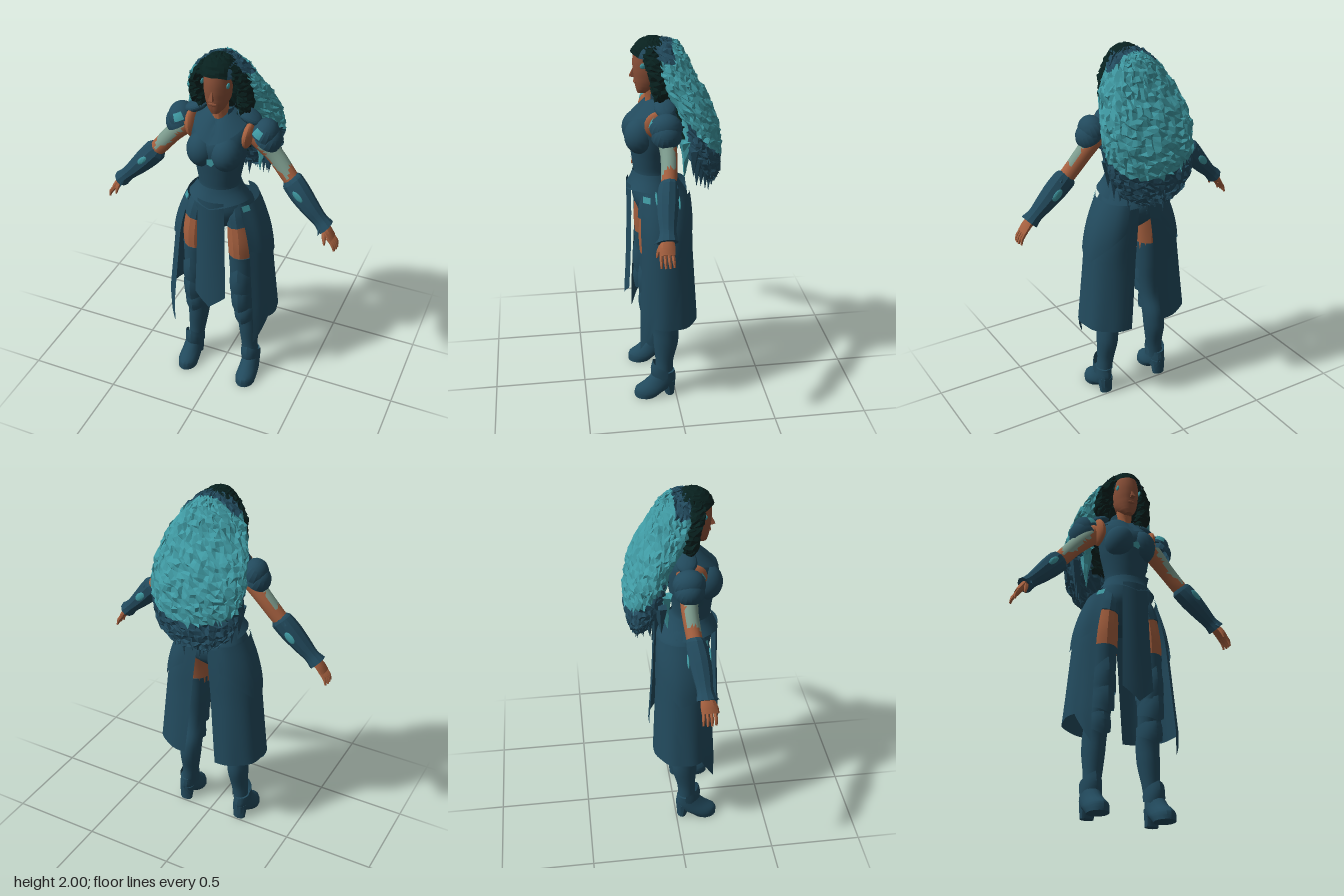
import * as THREE from 'three';
import { toCreasedNormals, mergeGeometries } from 'three/addons/utils/BufferGeometryUtils.js';

const V = (x, y, z) => new THREE.Vector3(x, y, z);
const lerp = THREE.MathUtils.lerp;
const mat = (name, color) => new THREE.MeshStandardMaterial({ name, color, side: THREE.DoubleSide });

// Grid surface from a rule f(u, v) -> Vector3
function sheet(f, nu, nv) {
  const pos = [], idx = [];
  for (let i = 0; i <= nv; i++) for (let j = 0; j <= nu; j++) pos.push(...f(j / nu, i / nv).toArray());
  for (let i = 0; i < nv; i++) for (let j = 0; j < nu; j++) {
    const a = i * (nu + 1) + j, b = a + nu + 1;
    idx.push(a, a + 1, b, a + 1, b + 1, b);
  }
  const g = new THREE.BufferGeometry();
  g.setAttribute('position', new THREE.Float32BufferAttribute(pos, 3));
  g.setIndex(idx);
  return g;
}

// Smooth body through rings [x, y, z, half width across, half depth in z], closed at both ends
function sweep(rings, seg = 14, steps = 4) {
  const path = new THREE.CatmullRomCurve3(rings.map(r => V(r[0], r[1], r[2])));
  const size = new THREE.CatmullRomCurve3(rings.map(r => V(r[3], r[4], 0)));
  const n = (rings.length - 1) * steps;
  return sheet((u, v) => {
    const t = THREE.MathUtils.clamp((v * (n + 2) - 1) / n, 0, 1);
    const cap = v < 0.5 / (n + 2) || v > 1 - 0.5 / (n + 2) ? 0 : 1;
    const c = path.getPoint(t), d = path.getTangent(t), s = size.getPoint(t);
    const l = Math.hypot(d.x, d.y) || 1, a = u * Math.PI * 2;
    const w = s.x * Math.cos(a) * cap;
    return V(c.x - d.y / l * w, c.y + d.x / l * w, c.z + s.y * Math.sin(a) * cap);
  }, seg, n + 2);
}

// Repeatable roughness, equal for equal positions
function ruffle(g, amount) {
  const p = g.attributes.position;
  const h = (x, y, z, k) => {
    const s = Math.sin(Math.round(x * 500) * 12.99 + Math.round(y * 500) * 78.23 + Math.round(z * 500) * 37.72 + k) * 4375.85;
    return s - Math.floor(s) - 0.5;
  };
  for (let i = 0; i < p.count; i++) {
    const x = p.getX(i), y = p.getY(i), z = p.getZ(i);
    p.setXYZ(i, x + h(x, y, z, 1) * amount, y + h(x, y, z, 2) * amount, z + h(x, y, z, 3) * amount);
  }
  return g;
}

// Gives each face a material number by its centre
function paint(g, pick) {
  const p = g.attributes.position;
  g.clearGroups();
  for (let i = 0; i < p.count; i += 3) {
    const c = V(0, 0, 0);
    for (let k = 0; k < 3; k++) c.add(V(p.getX(i + k), p.getY(i + k), p.getZ(i + k)).divideScalar(3));
    const m = pick(c), last = g.groups[g.groups.length - 1];
    if (last && last.materialIndex === m) last.count += 3; else g.addGroup(i, 3, m);
  }
  return g;
}

function mirrored(g) {
  const m = g.clone();
  for (const a of Object.values(m.attributes)) {
    if (a.itemSize !== 3) continue;
    for (let i = 0; i < a.count; i += 3) {
      const [p, q, r] = [0, 1, 2].map(k => [-a.getX(i + k), a.getY(i + k), a.getZ(i + k)]);
      a.setXYZ(i, ...p); a.setXYZ(i + 1, ...r); a.setXYZ(i + 2, ...q);
    }
  }
  return m;
}

export function createModel() {
  const root = new THREE.Group();
  const armour = mat('deep teal armour', 0x224a5d), hairLight = mat('turquoise hair', 0x3f99a2);
  const hairDark = mat('black green hair', 0x08211f), skin = mat('skin', 0xa5603f);
  const face = mat('face skin', 0x8a5038), sleeve = mat('grey green sleeve', 0x7d9c8e);
  const crease = (g, a = 0.5) => toCreasedNormals(g, a);
  const add = (name, g, m, a) => { const o = new THREE.Mesh(crease(g, a), m); o.name = name; root.add(o); return o; };
  const pair = (name, g, m, a) => {
    const o = add('left' + name, g, m, a), r = new THREE.Mesh(mirrored(o.geometry), m);
    r.name = 'right' + name;
    root.add(r);
  };
  const ball = (x, y, z, sx, sy, sz, rz = 0, cut = Math.PI) =>
    new THREE.SphereGeometry(1, 18, 12, 0, Math.PI * 2, 0, cut).scale(sx, sy, sz).rotateZ(rz).translate(x, y, z);

  // Torso and bust
  add('torso', sweep([[0, 1.03, 0.06, 0.08, 0.08], [0, 1.08, 0.055, 0.15, 0.125], [0, 1.15, 0.06, 0.17, 0.145],
    [0, 1.22, 0.08, 0.142, 0.125], [0, 1.3, 0.098, 0.108, 0.1], [0, 1.38, 0.1, 0.12, 0.108], [0, 1.46, 0.098, 0.137, 0.12],
    [0, 1.54, 0.096, 0.146, 0.128], [0, 1.61, 0.078, 0.142, 0.108], [0, 1.66, 0.062, 0.1, 0.078], [0, 1.69, 0.065, 0.055, 0.05]], 28), armour);
  pair('Breastplate', ball(0.064, 1.505, 0.163, 0.08, 0.095, 0.086), armour, 0.7);
  add('chestInlay', new THREE.CircleGeometry(0.024, 5).translate(0.006, 1.475, 0.233), hairLight);
  add('gorget', sheet((u, v) => {
    const a = (u - 0.5) * 3.4, f = Math.cos(a), k = Math.abs(u - 0.5) * 2;
    const r = lerp(0.056, 0.135, v);
    return V(Math.sin(a) * r, lerp(1.66 + 0.055 * k, 1.565 + 0.09 * k, v), 0.068 + f * lerp(0.07, 0.155, v));
  }, 16, 4), armour);
  add('collarBack', sheet((u, v) => {
    const a = 0.9 + u * (Math.PI * 2 - 1.8), r = lerp(0.06, 0.066, v);
    return V(Math.sin(a) * r, lerp(1.66, 1.72, v), 0.07 + Math.cos(a) * r);
  }, 14, 1), armour);

  // Waist plate with a scalloped lower edge
  add('waistPlate', sheet((u, v) => {
    const a = u * Math.PI * 2, tip = Math.abs(Math.sin(a * 1.5)) * 0.03, w = Math.pow(v, 1.3);
    return V(Math.sin(a) * lerp(0.113, 0.162, w), lerp(1.3, 1.195 + tip, v), 0.097 + Math.cos(a) * lerp(0.105, 0.142, w));
  }, 36, 5), armour);

  // Skirt: hanging front panel, split side panels and hip plates
  add('frontPanel', sheet((u, v) => {
    const x = u * 2 - 1, y = lerp(1.24, 0.565 + 0.075 * Math.abs(x), v);
    return V(x * lerp(0.072, 0.087, v), y, 0.237 + 0.022 * v * v - 0.018 * x * x);
  }, 8, 8), armour);
  const hem = new THREE.CatmullRomCurve3([V(0.205, 0, 0.18), V(0.262, 0, 0.11), V(0.265, 0, 0), V(0.18, 0, -0.085), V(0.035, 0, -0.1)]);
  const drape = (y, u, k) => {
    const p = hem.getPoint(u), up = Math.max(0, (y - 0.88) / 0.32), down = Math.min(1, Math.max(0, (0.88 - y) / 0.4));
    const s = k * (1 + 0.15 * down);
    return V(p.x * s * (1 - 0.12 * up - 0.21 * up * up), y, 0.05 + (p.z - 0.05) * s * (1 - 0.1 * up * up));
  };
  pair('SkirtPanel', sheet((u, v) => {
    const low = u < 0.22 ? lerp(0.335, 0.47, u / 0.22) : lerp(0.5, 0.47, u);
    return drape(lerp(1.17, low, v), u * lerp(0.99, 0.92, v), 1 + 0.012 * v * Math.sin(u * 22));
  }, 24, 12), armour);
  pair('HipPlate', sheet((u, v) => {
    const low = u < 0.55 ? lerp(0.95, 0.87, u / 0.55) : lerp(0.87, 1.05, (u - 0.55) / 0.45);
    return drape(lerp(1.2, low, v), u * 0.86, 1.025 + 0.015 * Math.sin(v * 3));
  }, 16, 6), armour);
  pair('HipInlay', sheet((u, v) => drape(lerp(1.205, 1.175, v), lerp(0.03, 0.17, u), 1.05), 4, 1), hairLight);

  // Legs: bare thigh, upper band, plated leg, knee plates and heeled boots
  pair('Thigh', sweep([[0.13, 0.84, 0.1, 0.07, 0.082], [0.128, 0.96, 0.098, 0.075, 0.092], [0.115, 1.09, 0.085, 0.07, 0.098]]), skin);
  pair('ThighBand', sweep([[0.117, 1.075, 0.088, 0.074, 0.104], [0.108, 1.13, 0.08, 0.068, 0.106], [0.095, 1.2, 0.075, 0.05, 0.09]]), armour);
  pair('LegArmour', sweep([[0.178, 0.05, 0.06, 0.04, 0.045], [0.172, 0.13, 0.062, 0.042, 0.048], [0.163, 0.21, 0.06, 0.046, 0.05],
    [0.155, 0.34, 0.05, 0.058, 0.07], [0.15, 0.43, 0.056, 0.06, 0.07], [0.145, 0.52, 0.085, 0.058, 0.07],
    [0.14, 0.6, 0.1, 0.06, 0.076], [0.135, 0.74, 0.1, 0.068, 0.084], [0.132, 0.88, 0.1, 0.074, 0.088]], 16), armour);
  const legPlate = (cx, cz, rx, rz, top, peak, low, dip) => sheet((u, v) => {
    const a = (u - 0.5) * 3.6, k = 1 - Math.abs(u - 0.5) * 2;
    return V(cx + Math.sin(a) * rx, lerp(top + peak * k, low - dip * k, v), cz + Math.cos(a) * (rz + 0.012 * Math.sin(v * Math.PI)));
  }, 10, 5);
  pair('KneePlate', mergeGeometries([legPlate(0.142, 0.1, 0.066, 0.085, 0.6, 0.08, 0.56, 0.05),
    legPlate(0.138, 0.1, 0.071, 0.087, 0.7, 0.11, 0.64, 0.02), legPlate(0.148, 0.075, 0.066, 0.078, 0.5, 0.03, 0.46, 0.06),
    legPlate(0.175, 0.065, 0.054, 0.062, 0.17, 0.05, 0.12, 0.03)]), armour);
  pair('Boot', mergeGeometries([
    sweep([[0.178, 0.15, 0.06, 0.045, 0.055], [0.18, 0.09, 0.085, 0.05, 0.085], [0.181, 0.05, 0.125, 0.056, 0.098], [0.181, 0.03, 0.145, 0.058, 0.086],
      [0.181, 0, 0.165, 0.054, 0.066]], 16), sweep([[0.178, 0.09, 0.045, 0.044, 0.045], [0.178, 0, 0.033, 0.036, 0.026]], 12)]), armour);

  // Arms: bare skin with sleeve patches, shoulder plates, gauntlets and hands
  const arm = crease(sweep([[0.14, 1.61, 0.055, 0.05, 0.055], [0.2, 1.56, 0.055, 0.052, 0.05], [0.28, 1.48, 0.05, 0.046, 0.042],
    [0.36, 1.385, 0.06, 0.043, 0.04], [0.42, 1.32, 0.07, 0.038, 0.038]], 16, 6), 0.7);
  const armTone = c => (c.x + c.y > 1.735 + 0.012 * Math.sin(c.x * 60) && c.x > 0.2 && c.x < 0.36 && c.z > 0.025 ? 1 : 0);
  pair('Arm', paint(arm, armTone), [skin, sleeve], 0.7);
  pair('ShoulderStrap', ball(0.152, 1.59, 0.085, 0.028, 0.075, 0.07, -0.15), skin);
  pair('ShoulderPlate', mergeGeometries([ball(0.22, 1.592, 0.055, 0.07, 0.082, 0.082, -0.4, 1.6),
    ball(0.236, 1.558, 0.055, 0.07, 0.08, 0.075, -0.5, 1.65), ball(0.14, 1.675, 0.05, 0.07, 0.03, 0.055, -0.45)]), armour, 0.3);
  pair('ShoulderInlay', new THREE.SphereGeometry(1, 6, 4, 1.0, 0.7, 0.95, 0.5).scale(0.074, 0.086, 0.086)
    .rotateY(-0.1).rotateZ(-0.4).translate(0.22, 1.592, 0.055), hairLight);
  pair('Gauntlet', sweep([[0.355, 1.385, 0.06, 0.03, 0.03], [0.378, 1.362, 0.065, 0.06, 0.05], [0.425, 1.31, 0.075, 0.058, 0.056],
    [0.49, 1.24, 0.085, 0.047, 0.05], [0.54, 1.19, 0.09, 0.038, 0.042], [0.575, 1.155, 0.095, 0.044, 0.053]], 10), armour, 0.3);
  pair('ElbowGuard', new THREE.ConeGeometry(0.04, 0.11, 5).rotateZ(0.55).translate(0.375, 1.4, 0.055), armour, 0.2);
  pair('CuffFin', new THREE.ConeGeometry(0.025, 0.09, 4).rotateX(2.2).translate(0.555, 1.165, 0.125), armour, 0.2);
  pair('GauntletInlay', mergeGeometries([ball(0.43, 1.32, 0.13, 0.036, 0.016, 0.006, -0.8),
    ball(0.445, 1.3, 0.021, 0.036, 0.02, 0.006, -0.8)]), hairLight);
  const fingers = [0, 1, 2, 3].map(i => sweep([[0.6, 1.115, 0.076 + i * 0.018, 0.012, 0.009],
    [0.628, 1.08, 0.073 + i * 0.02, 0.01, 0.009], [0.645 - Math.abs(i - 1.5) * 0.006, 1.05, 0.07 + i * 0.021, 0.006, 0.006]], 6, 2));
  pair('Hand', mergeGeometries([sweep([[0.56, 1.17, 0.095, 0.024, 0.03], [0.59, 1.135, 0.1, 0.02, 0.04], [0.613, 1.105, 0.102, 0.014, 0.04]], 10),
    sweep([[0.575, 1.145, 0.125, 0.014, 0.014], [0.583, 1.115, 0.142, 0.011, 0.01], [0.588, 1.085, 0.15, 0.005, 0.005]], 6, 2), ...fingers]), skin);

  // Neck and head
  add('neck', sweep([[0, 1.6, 0.085, 0.05, 0.06], [0, 1.68, 0.085, 0.042, 0.048], [0, 1.77, 0.098, 0.043, 0.048]]), skin);
  add('head', sweep([[0, 1.715, 0.148, 0.022, 0.024], [0, 1.74, 0.13, 0.044, 0.05], [0, 1.78, 0.11, 0.061, 0.078],
    [0, 1.83, 0.105, 0.07, 0.088], [0, 1.88, 0.1, 0.072, 0.094], [0, 1.93, 0.095, 0.066, 0.092], [0, 1.97, 0.09, 0.04, 0.06]], 18), face);
  add('nose', new THREE.ConeGeometry(0.017, 0.06, 4).rotateY(Math.PI / 4).rotateX(-0.25).translate(0, 1.828, 0.192), face, 0.2);
  add('lips', ball(0, 1.773, 0.184, 0.022, 0.009, 0.007), face);
  pair('TempleInlay', ball(0.067, 1.868, 0.148, 0.006, 0.014, 0.016), hairLight);

  // Hair: dark crown and face locks over a long rough mane
  const crown = ruffle(new THREE.SphereGeometry(1, 32, 14, 0, Math.PI * 2, 0, 1.6).scale(0.1, 0.108, 0.118)
    .rotateX(-0.3).translate(0, 1.89, 0.088), 0.006);
  add('hairCrown', paint(crease(crown, 0.2), c => (c.z > 0.04 && c.x < 0.07 ? 0 : 1)), [hairDark, armour], 0.2);
  pair('FaceLock', ruffle(sweep([[0.06, 1.95, 0.11, 0.02, 0.035], [0.1, 1.9, 0.1, 0.026, 0.045], [0.122, 1.83, 0.08, 0.037, 0.048],
    [0.125, 1.76, 0.07, 0.042, 0.045], [0.105, 1.685, 0.065, 0.018, 0.022]], 14, 6), 0.015), hairDark, 0.1);
  const mane = ruffle(sweep([[0, 1.25, -0.2, 0.1, 0.025], [0, 1.31, -0.185, 0.185, 0.055], [0, 1.4, -0.155, 0.235, 0.095],
    [0, 1.5, -0.14, 0.25, 0.105], [0, 1.6, -0.12, 0.255, 0.1], [0, 1.7, -0.075, 0.24, 0.105], [0, 1.8, -0.015, 0.205, 0.105],
    [0, 1.9, 0.025, 0.145, 0.1], [0, 1.96, 0.05, 0.08, 0.085], [0, 1.985, 0.065, 0.03, 0.04]], 64, 5), 0.02);
  const maneTone = c => {
    if (c.y > 1.9 && c.z > 0) return 1;
    if (c.z < -0.06 && c.y < 1.64 + (c.z + 0.03) * 1.12) return 1;
    return Math.abs(c.x) < 0.13 && c.z > lerp(-0.1, 0.03, (c.y - 1.4) / 0.4) ? 2 : 0;
  };
  add('mane', paint(crease(mane, 0.1), maneTone), [hairLight, armour, hairDark], 0.1);
  const tips = [];
  for (let i = 0; i < 19; i++) {
    const t = i / 9 - 1, y = 1.285 + 0.1 * t * t + 0.02 * Math.sin(i * 5), z = -0.2 + 0.1 * t * t + 0.015 * Math.cos(i * 7);
    tips.push(new THREE.ConeGeometry(0.032, 0.17 + 0.04 * Math.sin(i * 3), 5).rotateX(Math.PI).translate(t * 0.215, y, z));
  }
  add('maneTips', ruffle(mergeGeometries(tips), 0.012), armour, 0.1);
  pair('SideTip', ruffle(new THREE.ConeGeometry(0.03, 0.2, 6, 4).rotateX(Math.PI).translate(0.165, 1.4, -0.05), 0.015), hairLight, 0.1);
  return root;
}
